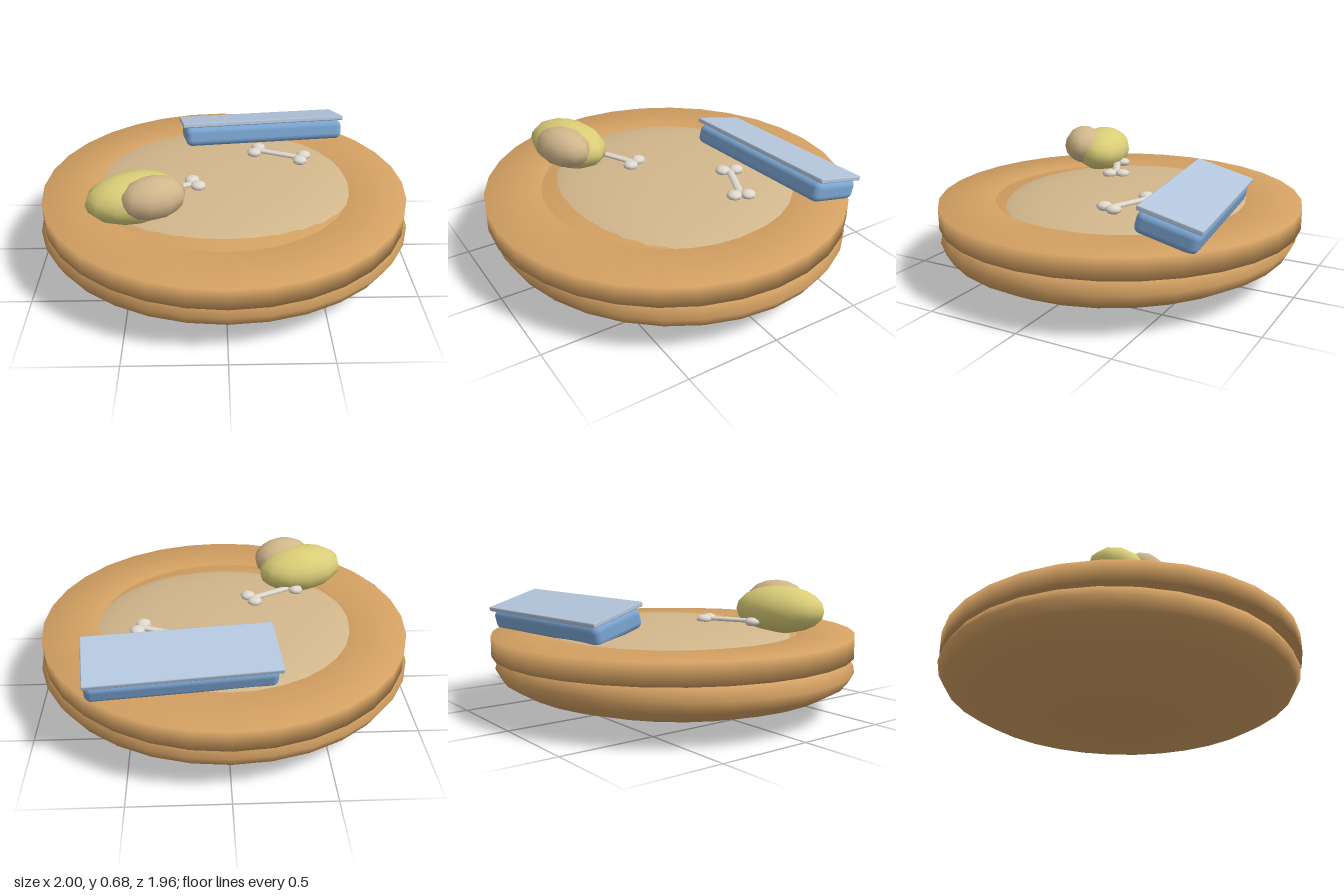
import * as THREE from 'three';
import { RoundedBoxGeometry } from 'three/addons/geometries/RoundedBoxGeometry.js';

const material = (name, color) => {
  const m = new THREE.MeshStandardMaterial({ color });
  m.name = name;
  return m;
};

export function createModel() {
  const model = new THREE.Group();
  const orange = material('orange fabric', 0xd4a163);
  const tan = material('tan fabric', 0xd2b78c);
  const khaki = material('khaki', 0xdacd78);
  const bone = material('bone white', 0xe0d9ce);
  const blue = material('blue', 0x7ba5d2);
  const paleBlue = material('pale blue', 0xb4c6dc);

  function add(parent, name, geometry, mat, x = 0, y = 0, z = 0) {
    const mesh = new THREE.Mesh(geometry, mat);
    mesh.name = name;
    mesh.position.set(x, y, z);
    parent.add(mesh);
    return mesh;
  }
  const ellipsoid = (rx, ry, rz, w, h) => new THREE.SphereGeometry(1, w, h).scale(rx, ry, rz);

  // Bed: squashed base, square-section rim with soft normals, inner cushion
  add(model, 'base', ellipsoid(1, 0.23, 0.955, 32, 12), orange, 0, 0.232, 0);
  const rimProfile = [
    [0.68, 0.355], [0.68, 0.3], [0.98, 0.3], [0.98, 0.41], [0.68, 0.41], [0.68, 0.355],
  ].map(([r, y]) => new THREE.Vector2(r, y));
  add(model, 'rim', new THREE.LatheGeometry(rimProfile, 32), orange);
  add(model, 'cushion', ellipsoid(0.75, 0.11, 0.706, 32, 24), tan, 0, 0.362, -0.05);

  // Folded blanket: thick pad under a thin cover, yawed and tipped back
  const blanket = new THREE.Group();
  blanket.name = 'blanket';
  blanket.position.set(0.226, 0.565, -0.57);
  blanket.rotation.set(-0.27, 0.111, 0, 'YXZ');
  add(blanket, 'blanketCover', new RoundedBoxGeometry(0.947, 0.025, 0.32, 1, 0.006), paleBlue, 0, -0.0125, 0);
  add(blanket, 'blanketPad', new RoundedBoxGeometry(0.925, 0.11, 0.31, 3, 0.035), blue, 0.005, -0.082, 0);
  model.add(blanket);

  // Plush toy: body and head
  add(model, 'toyBody', ellipsoid(0.25, 0.125, 0.16, 12, 10), khaki, -0.455, 0.537, 0.365).rotation.y = 0.35;
  add(model, 'toyHead', ellipsoid(0.17, 0.108, 0.115, 10, 8), tan, -0.355, 0.575, 0.44).rotation.y = 0.42;

  // Two flattened toy bones, each a shaft with paired knobs
  for (const [x, z, yaw] of [[0.317, -0.231, -0.4], [-0.276, 0.173, 0.48]]) {
    const toy = new THREE.Group();
    toy.name = 'toyBone';
    toy.position.set(x, 0.478, z);
    toy.rotation.y = yaw;
    toy.scale.y = 0.55;
    add(toy, 'boneShaft', new THREE.CylinderGeometry(0.021, 0.021, 0.27, 8).rotateZ(Math.PI / 2), bone);
    for (const sx of [-1, 1]) {
      for (const sz of [-1, 1]) {
        add(toy, 'boneKnob', new THREE.SphereGeometry(0.042, 8, 6), bone, sx * 0.136, 0, sz * 0.036);
      }
    }
    model.add(toy);
  }

  return model;
}
